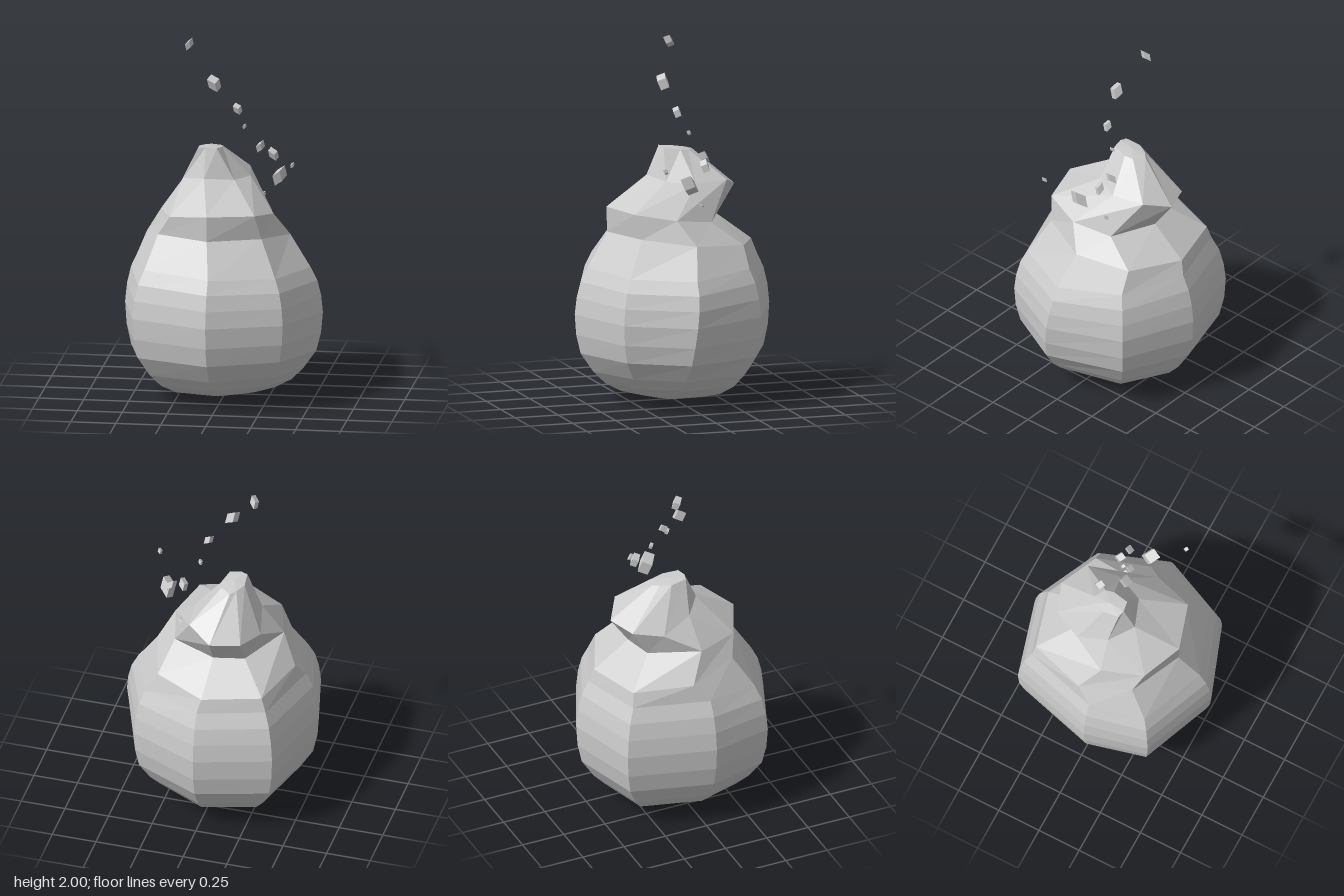
import * as THREE from 'three';

const grey = () => new THREE.MeshStandardMaterial({ color: 0xcccccc, flatShading: true, side: THREE.DoubleSide });

// Columns from the front round through the +x side: widest x, z, then height offset at the base and at the top of the bulge
const columns = [
  [-0.03, 0.56, 0.02, -0.01], [0.38, 0.41, 0.035, -0.02], [0.55, 0.02, 0.03, -0.03], [0.39, -0.38, 0.01, 0],
  [0, -0.56, -0.01, 0.02], [-0.42, -0.44, -0.01, 0.03], [-0.55, 0.04, -0.01, 0.03], [-0.46, 0.39, 0.01, 0],
];

// Lower bulge: [height, scale of outline]
const bulge = [[0.02, 0.33], [0.04, 0.53], [0.09, 0.69], [0.16, 0.81], [0.27, 0.94], [0.38, 0.985], [0.5, 1], [0.6, 0.98], [0.69, 0.94], [0.77, 0.87]];

function bulgePoint([x, z, low, high], column, y, s) {
  const t = y / 0.77;
  const drift = column === 2 ? 0.075 * Math.max(0, 1 - y / 0.65) : 0;
  return [x * s, Math.max(0.005, y + low * (1 - t) * Math.min(1, y / 0.04) + high * t), z * s + drift];
}

// Folded upper cross-sections, same column order: [x, y, z]
const folds = [
  // shoulder
  [[-0.05, 0.95, 0.365], [0.24, 0.95, 0.26], [0.36, 0.915, -0.02], [0.27, 0.89, -0.32],
    [-0.02, 0.87, -0.46], [-0.34, 0.88, -0.37], [-0.44, 0.9, -0.05], [-0.34, 0.95, 0.23]],
  // front lip and the crease under the rear hood
  [[-0.05, 1.09, 0.37], [0.205, 1.085, 0.29], [0.28, 1.05, 0.07], [0.22, 1.02, -0.15],
    [-0.03, 1.02, -0.26], [-0.2, 1.02, -0.22], [-0.35, 1.05, 0.04], [-0.27, 1.06, 0.27]],
  // rear hood and foot of the tip
  [[-0.1, 1.245, 0.12], [0.06, 1.23, 0.06], [0.13, 1.22, -0.09], [0.1, 1.23, -0.28],
    [-0.04, 1.18, -0.37], [-0.2, 1.17, -0.31], [-0.27, 1.15, -0.15], [-0.23, 1.22, 0.02]],
  // flat tip
  [[-0.1, 1.405, 0.05], [-0.04, 1.4, 0.04], [-0.02, 1.39, -0.05], [-0.03, 1.385, -0.1],
    [-0.09, 1.38, -0.14], [-0.12, 1.385, -0.11], [-0.15, 1.39, -0.05], [-0.14, 1.4, 0.04]],
];

function loftBody() {
  const rings = bulge.map(([y, s]) => columns.map((c, j) => bulgePoint(c, j, y, s))).concat(folds);
  const n = columns.length, last = (rings.length - 1) * n;
  const points = rings.flat();
  const foot = points.push([0, 0, 0]) - 1;
  const tip = points.push([-0.09, 1.4, -0.04]) - 1;
  const index = [];
  for (let j = 0; j < n; j++) {
    const k = (j + 1) % n;
    for (let i = 0; i < rings.length - 1; i++) {
      const a = i * n + j, b = i * n + k;
      index.push(a, b, b + n, a, b + n, a + n);
    }
    index.push(foot, k, j, tip, last + j, last + k);
  }
  const g = new THREE.BufferGeometry();
  g.setAttribute('position', new THREE.Float32BufferAttribute(points.flat(), 3));
  g.setIndex(index);
  const flat = g.toNonIndexed();
  flat.computeVertexNormals();
  return flat;
}

// Small skewed block
function fragmentGeometry(size, skew) {
  const g = new THREE.BoxGeometry(size * 0.75, size * 0.9, size * 0.8);
  g.applyMatrix4(new THREE.Matrix4().makeShear(skew, 0, 0, 0, 0, 0));
  g.rotateX(0.4);
  g.rotateY(-0.4);
  return g;
}

// Floating fragments: x, y, z, size, skew
const fragments = [
  [-0.205, 1.965, -0.045, 0.045, 0.8], [-0.055, 1.77, 0.04, 0.062, -0.5], [0.07, 1.62, 0, 0.042, -0.5],
  [0.1, 1.505, -0.06, 0.022, 0.6], [0.18, 1.38, -0.12, 0.046, 0.7], [0.255, 1.345, -0.1, 0.046, -0.7],
  [0.305, 1.25, 0.005, 0.074, 0.7], [0.4, 1.355, 0.175, 0.023, 0.6], [0.2, 1.115, -0.1, 0.024, 0.5],
];

export function createModel() {
  const model = new THREE.Group();
  const body = new THREE.Mesh(loftBody(), grey());
  body.name = 'body';
  model.add(body);

  const cloud = new THREE.Group();
  cloud.name = 'floatingFragments';
  for (const [x, y, z, size, skew] of fragments) {
    const bit = new THREE.Mesh(fragmentGeometry(size, skew), grey());
    bit.name = 'fragment';
    bit.position.set(x, y, z);
    cloud.add(bit);
  }
  model.add(cloud);
  return model;
}
